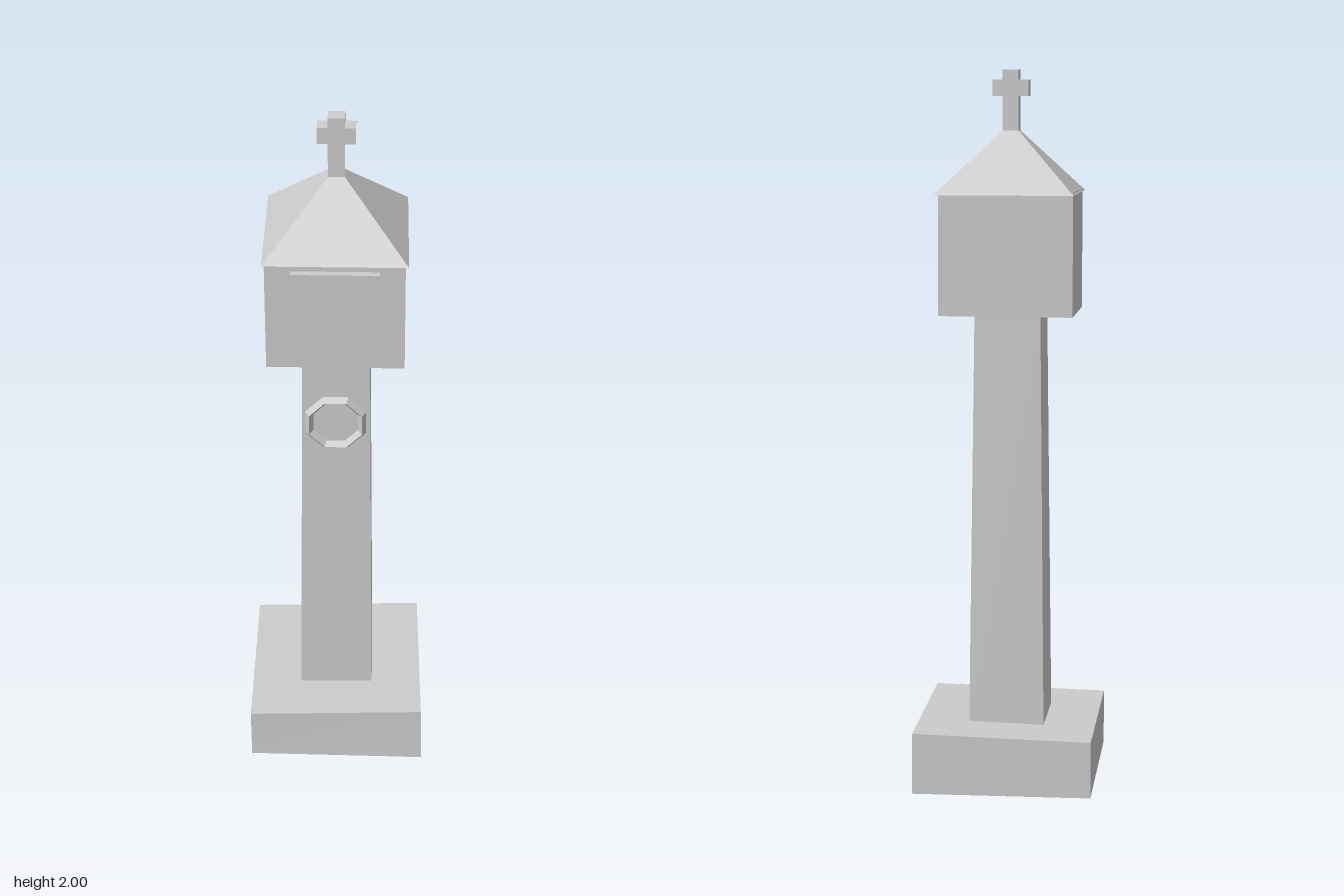
import * as THREE from 'three';

const stone = new THREE.MeshStandardMaterial({ color: 0xcccccc });
stone.name = 'grey stone';

// Box whose eight corners are moved to hand-hewn positions.
// Corners run back-left, back-right, front-right, front-left in view order, as [x, y, z].
function block(name, bottom, top) {
  const geo = new THREE.BoxGeometry(1, 1, 1);
  const pos = geo.attributes.position;
  for (let i = 0; i < pos.count; i++) {
    const right = pos.getX(i) > 0, front = pos.getZ(i) > 0;
    const corner = front ? (right ? 2 : 3) : (right ? 1 : 0);
    pos.setXYZ(i, ...(pos.getY(i) > 0 ? top : bottom)[corner]);
  }
  geo.computeVertexNormals();
  const mesh = new THREE.Mesh(geo, stone);
  mesh.name = name;
  return mesh;
}

// Level rectangle of corners
const rect = (y, x0, x1, z0, z1) => [[x0, y, z0], [x1, y, z0], [x1, y, z1], [x0, y, z1]];

const box = (name, x0, x1, y0, y1, z0, z1) =>
  block(name, rect(y0, x0, x1, z0, z1), rect(y1, x0, x1, z0, z1));

export function createModel() {
  const group = new THREE.Group();
  group.name = 'wayside shrine';

  // Slightly crooked plinth
  group.add(block('plinth',
    [[-0.255, 0.005, -0.248], [0.245, 0, -0.255], [0.255, 0, 0.255], [-0.255, 0.005, 0.253]],
    [[-0.255, 0.165, -0.248], [0.243, 0.175, -0.257], [0.25, 0.173, 0.243], [-0.255, 0.165, 0.253]]));

  // Tapering pillar
  group.add(block('pillar',
    rect(0.16, -0.11, 0.103, -0.111, 0.107),
    rect(1.34, -0.096, 0.087, -0.092, 0.094)));

  // Shrine housing and its raised front panel
  group.add(block('housing',
    rect(1.333, -0.19, 0.18, -0.15, 0.153),
    rect(1.672, -0.19, 0.177, -0.153, 0.151)));
  group.add(box('frontPanel', -0.122, 0.111, 1.38, 1.628, 0.14, 0.17));

  // Pyramid roof, ending under the cross
  group.add(block('roof',
    rect(1.664, -0.195, 0.185, -0.19, 0.19),
    rect(1.835, -0.027, 0.017, -0.022, 0.022)));

  // Cross
  const cross = new THREE.Group();
  cross.name = 'cross';
  cross.add(box('crossPost', -0.027, 0.017, 1.83, 2, -0.022, 0.022));
  cross.add(box('crossArmRight', -0.055, -0.027, 1.928, 1.973, -0.022, 0.022));
  cross.add(box('crossArmLeft', 0.017, 0.045, 1.928, 1.973, -0.022, 0.022));
  group.add(cross);

  // Faceted wreath hanging in front of the pillar
  const ringGeo = new THREE.TorusGeometry(0.078, 0.012, 4, 8).toNonIndexed();
  ringGeo.rotateZ(Math.PI / 8);
  ringGeo.scale(1, 1, 1.4);
  ringGeo.computeVertexNormals();
  const wreath = new THREE.Mesh(ringGeo, stone);
  wreath.name = 'wreath';
  wreath.position.set(-0.005, 1.138, 0.128);
  group.add(wreath);

  return group;
}
